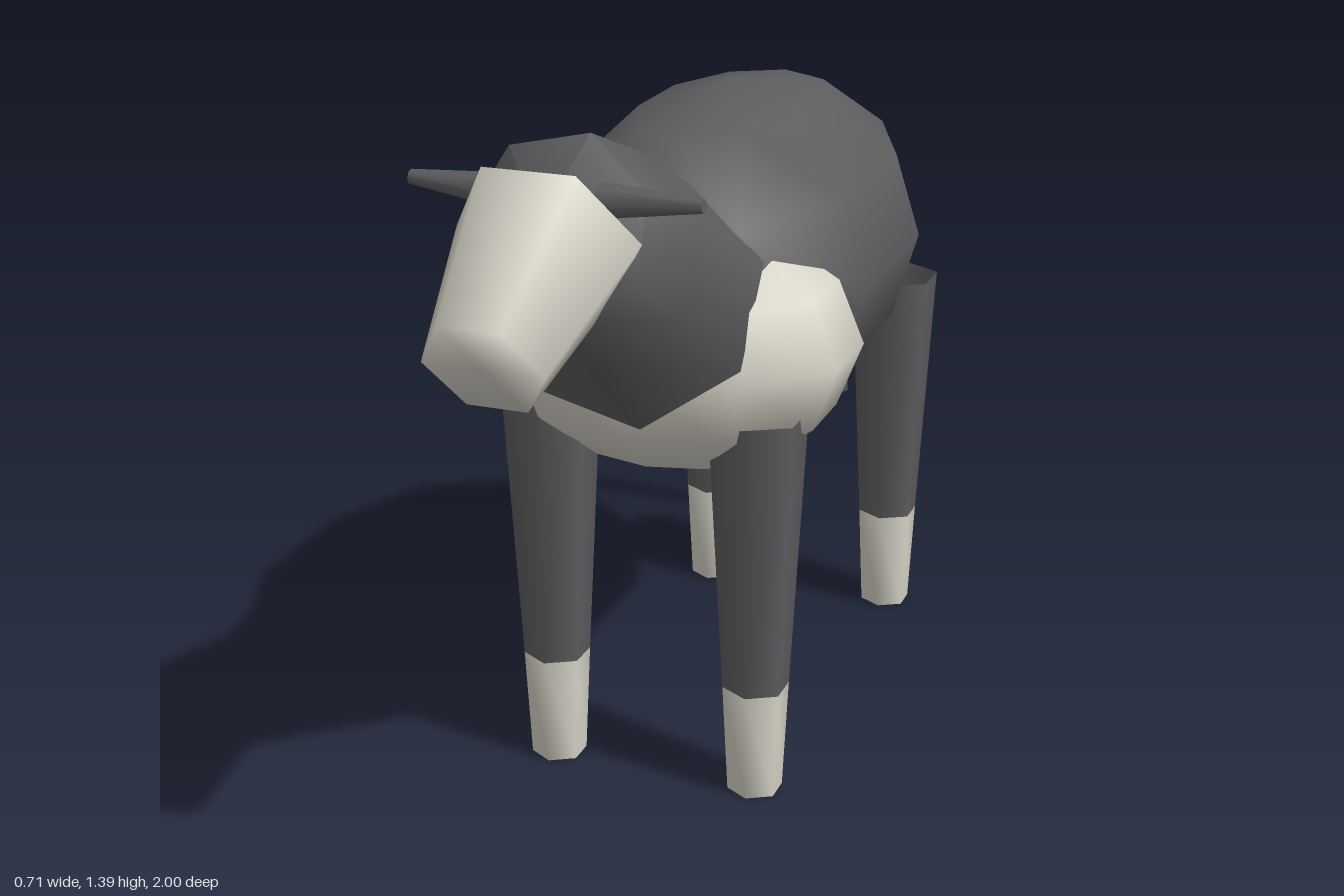
import * as THREE from 'three';
import { toCreasedNormals } from 'three/addons/utils/BufferGeometryUtils.js';

const dark = new THREE.MeshStandardMaterial({ color: 0x5d5d5f, side: THREE.DoubleSide });
dark.name = 'charcoal coat';
const pale = new THREE.MeshStandardMaterial({ color: 0xd9d5c9, side: THREE.DoubleSide });
pale.name = 'cream markings';

function add(parent, name, geometry, material, x = 0, y = 0, z = 0) {
  const mesh = new THREE.Mesh(geometry, material);
  mesh.name = name;
  mesh.position.set(x, y, z);
  parent.add(mesh);
  return mesh;
}

// Skin over polygon rings lying along a path in the YZ plane.
// Each ring is [z, y, radius, pitch of the path]; radius 0 closes an end.
function loft(rings, sides, startAngle) {
  const positions = [], index = [];
  rings.forEach(([z, y, r, pitch], i) => {
    for (let j = 0; j < sides; j++) {
      const a = startAngle + (j / sides) * Math.PI * 2;
      const up = Math.sin(a) * r;
      positions.push(Math.cos(a) * r, y + up * Math.cos(pitch), z - up * Math.sin(pitch));
      if (i === rings.length - 1) continue;
      const p = i * sides + j, q = i * sides + (j + 1) % sides;
      index.push(p, q, p + sides, q, q + sides, p + sides);
    }
  });
  const geometry = new THREE.BufferGeometry();
  geometry.setAttribute('position', new THREE.Float32BufferAttribute(positions, 3));
  geometry.setIndex(index);
  return toCreasedNormals(geometry, 1.2);
}

// Coarse smooth ellipsoid with corners on the z axis
function ellipsoid(rx, ry, rz) {
  return new THREE.SphereGeometry(1, 10, 6).rotateY(Math.PI / 2).scale(rx, ry, rz);
}

export function createModel() {
  const model = new THREE.Group();
  model.name = 'animal';

  // Torso and pale chest
  add(model, 'body', ellipsoid(0.352, 0.34, 0.635), dark, 0, 0.97, -0.21);
  add(model, 'chest', ellipsoid(0.375, 0.25, 0.28), pale, 0, 0.885, 0.14);

  // Gently bent, tapering neck that ends in the back of the head
  add(model, 'neck', loft([
    [0.30, 1.00, 0, 0.63],
    [0.30, 1.00, 0.242, 0.63],
    [0.50, 1.145, 0.2, 0.52],
    [0.665, 1.24, 0.17, 0.4],
    [0.74, 1.27, 0, 0.4],
  ], 7, Math.PI), dark);

  // Muzzle, open where it overlaps the head
  const muzzleProfile = [[0.166, 0], [0.108, 0.298], [0, 0.298]]
    .map(([r, y]) => new THREE.Vector2(r, y));
  const muzzle = add(model, 'muzzle',
    new THREE.LatheGeometry(muzzleProfile, 6, Math.PI / 6), pale, 0, 1.241, 0.697);
  muzzle.rotation.x = Math.PI * 2 / 3;

  for (const side of [-1, 1]) {
    const label = side > 0 ? 'left' : 'right';

    // Stubby horns pointing sideways
    const horn = add(model, label + 'Horn',
      new THREE.CylinderGeometry(0.013, 0.032, 0.18, 7), dark, side * 0.173, 1.303, 0.67);
    horn.rotation.z = -side * (Math.PI / 2 - 0.05);

    // Open-topped legs with pale socks
    for (const [end, z] of [['Front', 0.24], ['Hind', -0.682]]) {
      const leg = new THREE.Group();
      leg.name = label + end + 'Leg';
      leg.position.set(side * 0.211, 0, z);
      model.add(leg);
      add(leg, 'upperLeg', new THREE.CylinderGeometry(0.096, 0.066, 0.565, 6, 1, true),
        dark, 0, 0.5075, 0);
      const sock = [[0, 0], [0.055, 0], [0.066, 0.225]].map(([r, y]) => new THREE.Vector2(r, y));
      add(leg, 'sock', toCreasedNormals(new THREE.LatheGeometry(sock, 6), 1.2), pale);
    }
  }

  // Hanging tail
  add(model, 'tail', loft([
    [-0.832, 1.09, 0, -1.82],
    [-0.832, 1.09, 0.034, -1.82],
    [-0.922, 0.74, 0.03, -1.78],
    [-0.977, 0.387, 0.021, -1.73],
    [-0.977, 0.387, 0, -1.73],
  ], 6, 0), dark);

  return model;
}
